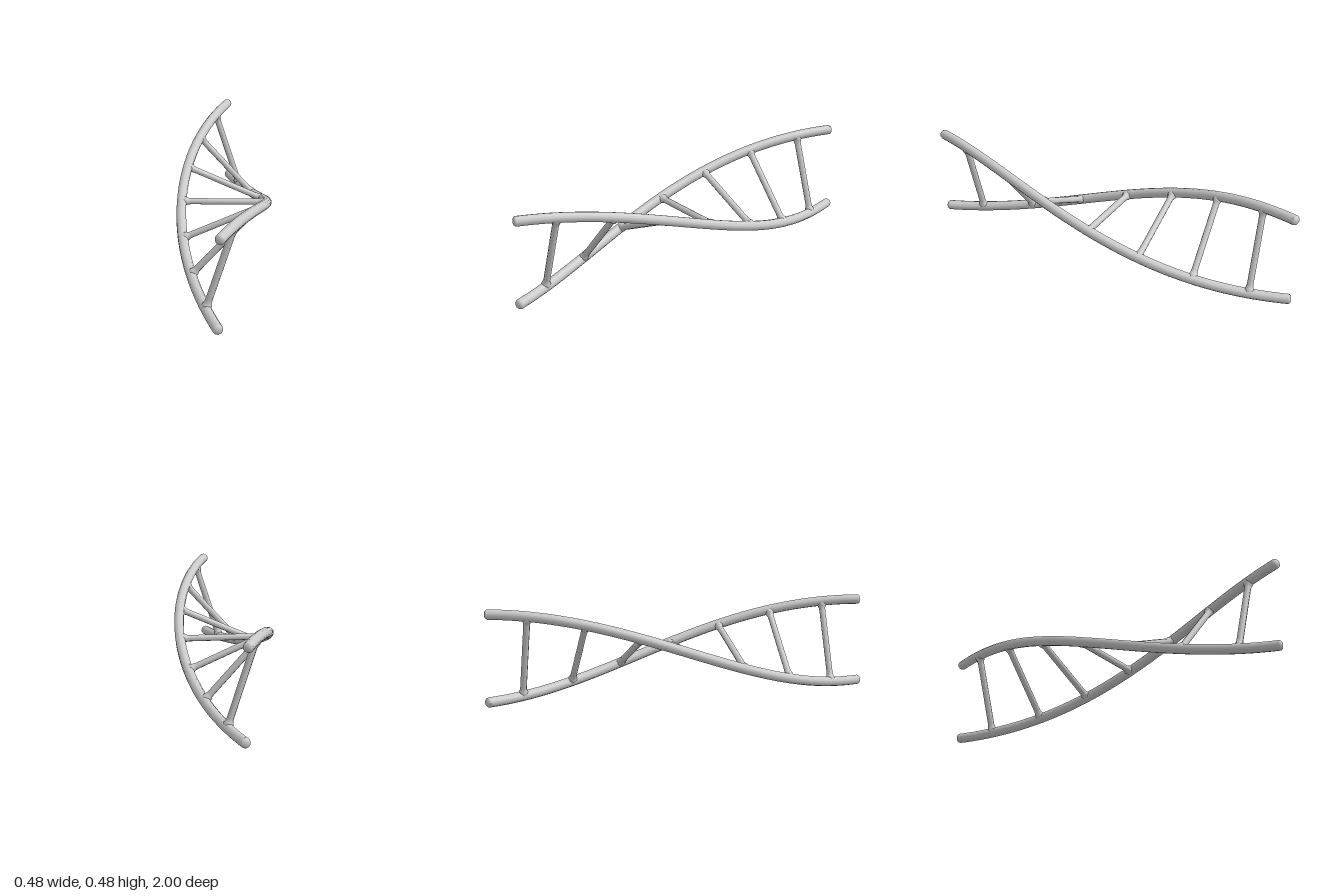
import * as THREE from 'three';

const CENTER_Y = 0.24;      // height of the helix axis
const HELIX_R = 0.215;      // axis to strand centre
const TUBE_R = 0.025;
const RUNG_R = 0.0165;
const HALF = 0.985;         // strand half length without its end caps
const SIDES = 10;

const material = new THREE.MeshStandardMaterial({ color: 0xcccccc });

// Half a turn along z: angle 0 points up at z = 1
const angleAt = (z) => (Math.PI / 2) * (1 - z);

function strandPoint(z, phase) {
  const a = angleAt(z) + phase;
  return new THREE.Vector3(HELIX_R * Math.sin(a), CENTER_Y + HELIX_R * Math.cos(a), z);
}

class Strand extends THREE.Curve {
  constructor(phase) {
    super();
    this.phase = phase;
  }
  getPoint(t, target = new THREE.Vector3()) {
    return target.copy(strandPoint(HALF * (1 - 2 * t), this.phase));
  }
}

function add(group, name, geometry) {
  const mesh = new THREE.Mesh(geometry, material);
  mesh.name = name;
  group.add(mesh);
  return mesh;
}

export function createModel() {
  const model = new THREE.Group();
  model.name = 'twistedLadder';
  const up = new THREE.Vector3(0, 1, 0);

  // Two strands with rounded ends
  [0, Math.PI].forEach((phase, i) => {
    const strand = new THREE.Group();
    strand.name = i ? 'strandB' : 'strandA';
    const curve = new Strand(phase);
    add(strand, 'rail', new THREE.TubeGeometry(curve, 48, TUBE_R, SIDES, false));
    for (const t of [0, 1]) {
      const dome = new THREE.SphereGeometry(TUBE_R, SIDES, 4, 0, Math.PI * 2, 0, Math.PI / 2);
      dome.scale(1, 0.6, 1);
      const cap = add(strand, 'endCap', dome);
      cap.position.copy(curve.getPoint(t));
      cap.quaternion.setFromUnitVectors(up, curve.getTangent(t).multiplyScalar(t ? 1 : -1));
    }
    model.add(strand);
  });

  // Rung profile, flared where it blends into the strands
  const flare = [[0.205, 0.024], [0.193, 0.024], [0.187, 0.0205], [0.178, 0.0175], [0.165, RUNG_R]];
  const profile = [
    ...flare.map(([y, r]) => new THREE.Vector2(r, -y)),
    ...flare.slice().reverse().map(([y, r]) => new THREE.Vector2(r, y)),
  ];
  const rungGeometry = new THREE.LatheGeometry(profile, 8);

  // Seven evenly spaced rungs following the twist
  for (let k = -3; k <= 3; k++) {
    const z = k * 0.268;
    const rung = add(model, 'rung', rungGeometry);
    rung.position.set(0, CENTER_Y, z);
    rung.rotation.z = -angleAt(z);
  }
  return model;
}
